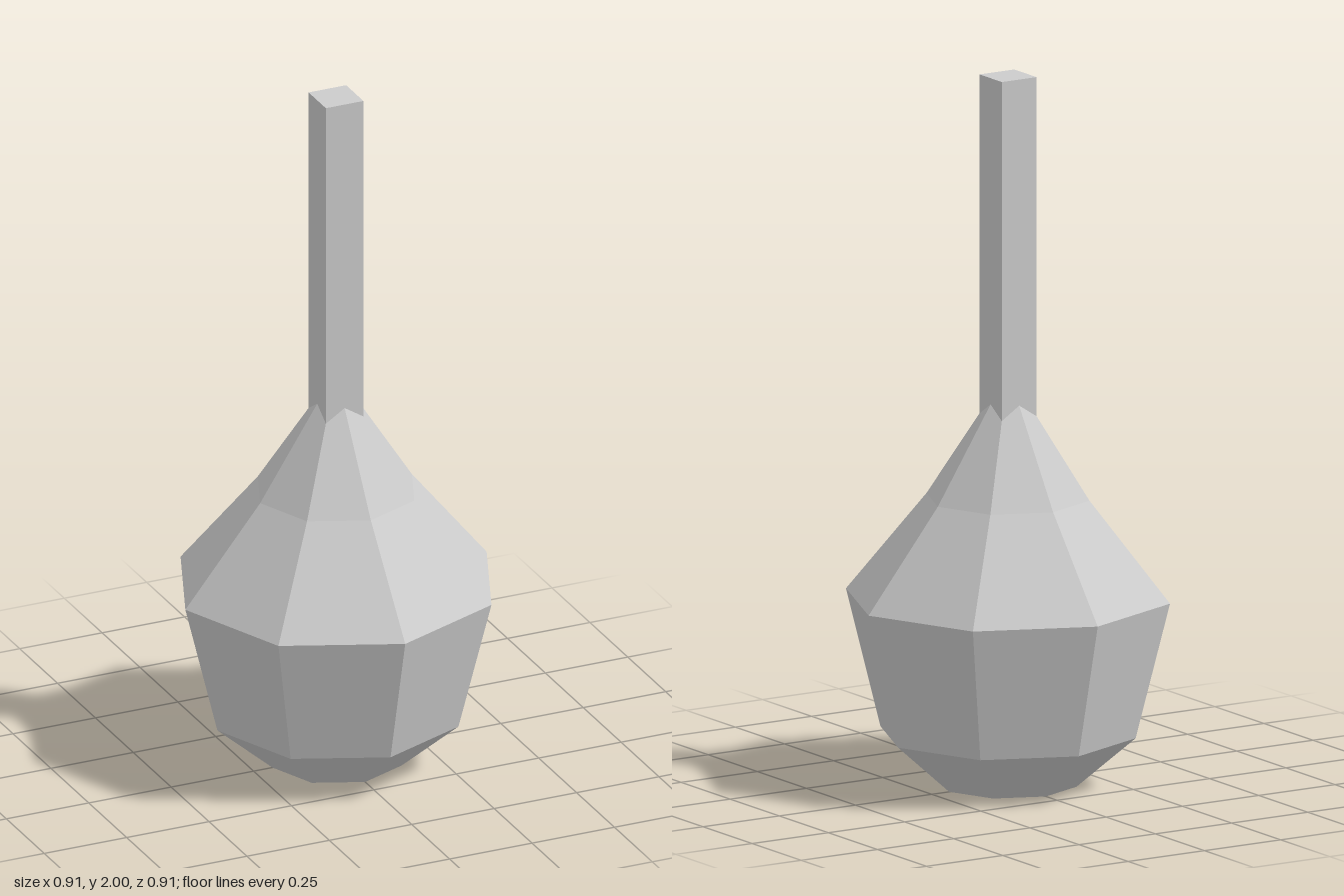
import * as THREE from 'three';

// Faceted geometry: every face gets its own normal
function faceted(geometry) {
  const g = geometry.toNonIndexed();
  g.computeVertexNormals();
  return g;
}

export function createModel() {
  const group = new THREE.Group();
  const grey = new THREE.MeshStandardMaterial({ color: 0xcccccc });
  grey.name = 'plain grey';

  // Eight-sided bulb, from the closed base up to the point where it meets the neck
  const profile = [
    [0, 0], [0.193, 0], [0.36, 0.145], [0.457, 0.53], [0.23, 0.81], [0.056, 1.08],
  ].map(([r, y]) => new THREE.Vector2(r, y));
  const bulb = new THREE.Mesh(faceted(new THREE.LatheGeometry(profile, 8)), grey);
  bulb.name = 'bulb';
  group.add(bulb);

  // Square neck, its lower end sunk into the bulb
  const bottom = 1.03, top = 2;
  const neck = new THREE.Mesh(new THREE.BoxGeometry(0.114, top - bottom, 0.114), grey);
  neck.position.y = (top + bottom) / 2;
  neck.name = 'neck';
  group.add(neck);

  return group;
}
